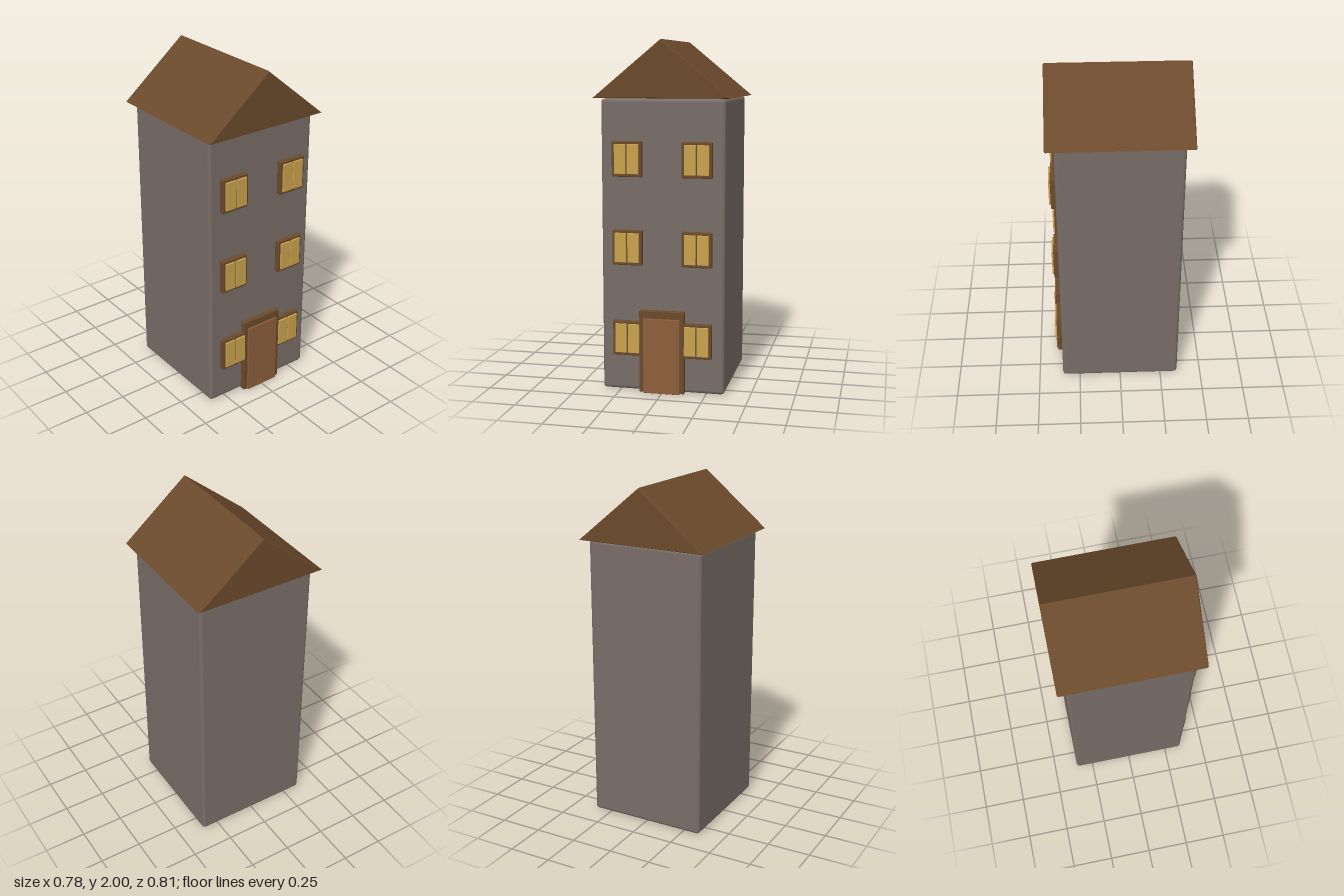
import * as THREE from 'three';
import { RoundedBoxGeometry } from 'three/addons/geometries/RoundedBoxGeometry.js';

function material(name, color) {
  const m = new THREE.MeshStandardMaterial({ color });
  m.name = name;
  return m;
}

export function createModel() {
  const stone = material('stone', 0x796d67);
  const timber = material('timber', 0x6b4a2c);
  const doorWood = material('doorWood', 0x8d5f3c);
  const glass = material('glass', 0xc9a24d);

  const house = new THREE.Group();
  house.name = 'house';

  // Rounded block given by its lower edge, size and front/back planes
  function block(name, mat, parent, x, y0, w, h, zBack, zFront, radius) {
    const d = zFront - zBack;
    const mesh = new THREE.Mesh(new RoundedBoxGeometry(w, h, d, 2, radius), mat);
    mesh.name = name;
    mesh.position.set(x, y0 + h / 2, (zFront + zBack) / 2);
    parent.add(mesh);
    return mesh;
  }

  // Walls
  block('walls', stone, house, 0, 0.003, 0.71, 1.672, -0.355, 0.355, 0.02);

  // Gable roof with a fine bevel
  const bevel = 0.007;
  const gable = new THREE.Shape();
  gable.moveTo(-0.38, 1.682);
  gable.lineTo(0.38, 1.682);
  gable.lineTo(0, 1.991);
  gable.closePath();
  const depth = 0.806 - 2 * bevel;
  const roofGeometry = new THREE.ExtrudeGeometry(gable, {
    depth, bevelEnabled: true, bevelSize: bevel, bevelThickness: bevel, bevelSegments: 2,
  });
  roofGeometry.translate(0, 0, -depth / 2);
  const roof = new THREE.Mesh(roofGeometry, timber);
  roof.name = 'roof';
  house.add(roof);

  // Windows: three floors, mirrored left and right, two panes each
  for (const y of [0.213, 0.738, 1.24]) {
    for (const side of [-1, 1]) {
      const win = new THREE.Group();
      win.name = 'window';
      house.add(win);
      block('windowFrame', timber, win, side * 0.2, y, 0.172, 0.2, 0.353, 0.384, 0.005);
      for (const pane of [-1, 1]) {
        block('windowPane', glass, win, side * 0.2 + pane * 0.037, y + 0.017, 0.066, 0.168, 0.38, 0.394, 0.002);
      }
    }
  }

  // Door
  block('doorFrame', timber, house, 0, 0.003, 0.262, 0.477, 0.353, 0.387, 0.005);
  block('door', doorWood, house, 0, 0, 0.212, 0.436, 0.38, 0.396, 0.002);

  return house;
}
